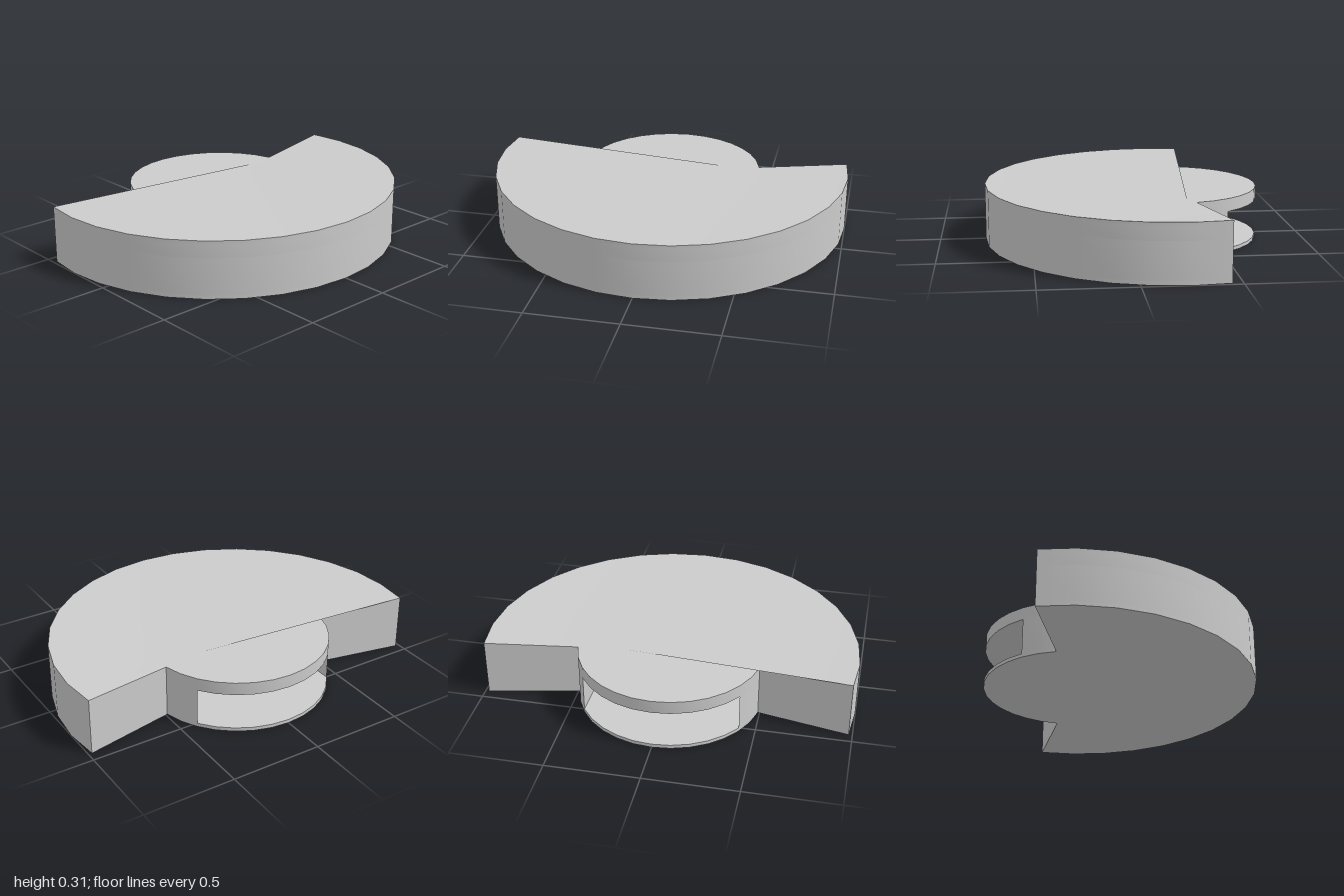
import * as THREE from 'three';
import { toCreasedNormals } from 'three/addons/utils/BufferGeometryUtils.js';

const STEP = Math.PI / 16, CX = -0.25, BIG = 1, SMALL = 0.5;
const SHOULDER = 0.29, TOP = 0.312;
const material = new THREE.MeshStandardMaterial({ color: 0xcccccc, side: THREE.DoubleSide });

// Plan points on a circle about the hub, from step a to step b (plan y = -z)
function arc(radius, a, b) {
  const points = [];
  for (let i = a; i <= b; i++) {
    points.push(new THREE.Vector2(CX + radius * Math.cos(i * STEP), radius * Math.sin(i * STEP)));
  }
  return points;
}

function addMesh(group, name, geometry) {
  const mesh = new THREE.Mesh(toCreasedNormals(geometry, 0.4), material);
  mesh.name = name;
  group.add(mesh);
}

function addLayer(group, name, outline, y0, y1) {
  const geometry = new THREE.ExtrudeGeometry(new THREE.Shape(outline), { depth: y1 - y0, bevelEnabled: false });
  geometry.rotateX(-Math.PI / 2);
  geometry.translate(0, y0, 0);
  addMesh(group, name, geometry);
}

// Slightly raised top of the large sector, sloping down to the hub
function capGeometry() {
  const rim = arc(BIG, -9, 9);
  const last = rim.length - 1;
  const at = (p, y) => [p.x, y, -p.y];
  const apex = at(new THREE.Vector2(-0.3, 0.497), SHOULDER);
  const frontInner = at(arc(SMALL, -9, -9)[0], SHOULDER);
  const backInner = at(arc(SMALL, 9, 9)[0], SHOULDER);
  const hi = rim.map((p) => at(p, TOP));
  const lo = rim.map((p) => at(p, SHOULDER));
  const vertices = [];
  const tri = (a, b, c) => vertices.push(...a, ...b, ...c);

  for (let i = 0; i < last; i++) {
    tri(apex, hi[i], hi[i + 1]);
    tri(lo[i], lo[i + 1], hi[i + 1]);
    tri(lo[i], hi[i + 1], hi[i]);
  }
  tri(apex, hi[last], backInner);
  tri(apex, frontInner, hi[0]);
  // Tapering ends above the two straight walls
  tri(frontInner, lo[0], hi[0]);
  tri(lo[last], backInner, hi[last]);

  const geometry = new THREE.BufferGeometry();
  geometry.setAttribute('position', new THREE.Float32BufferAttribute(vertices, 3));
  return geometry;
}

export function createModel() {
  const group = new THREE.Group();
  group.name = 'sectorDisc';

  const full = [...arc(BIG, -9, 9), ...arc(SMALL, 9, 23)];
  // The middle layer opens into a slot on the hub side
  const slotted = [
    ...arc(BIG, -9, 9),
    ...arc(SMALL, 9, 11),
    new THREE.Vector2(-0.2, 0.41),
    new THREE.Vector2(-0.2, -0.41),
    ...arc(SMALL, 21, 23),
  ];

  addLayer(group, 'basePlate', full, 0, 0.02);
  addLayer(group, 'slottedBody', slotted, 0.02, 0.22);
  addLayer(group, 'upperPlate', full, 0.22, SHOULDER);
  addMesh(group, 'sectorTop', capGeometry());
  return group;
}
